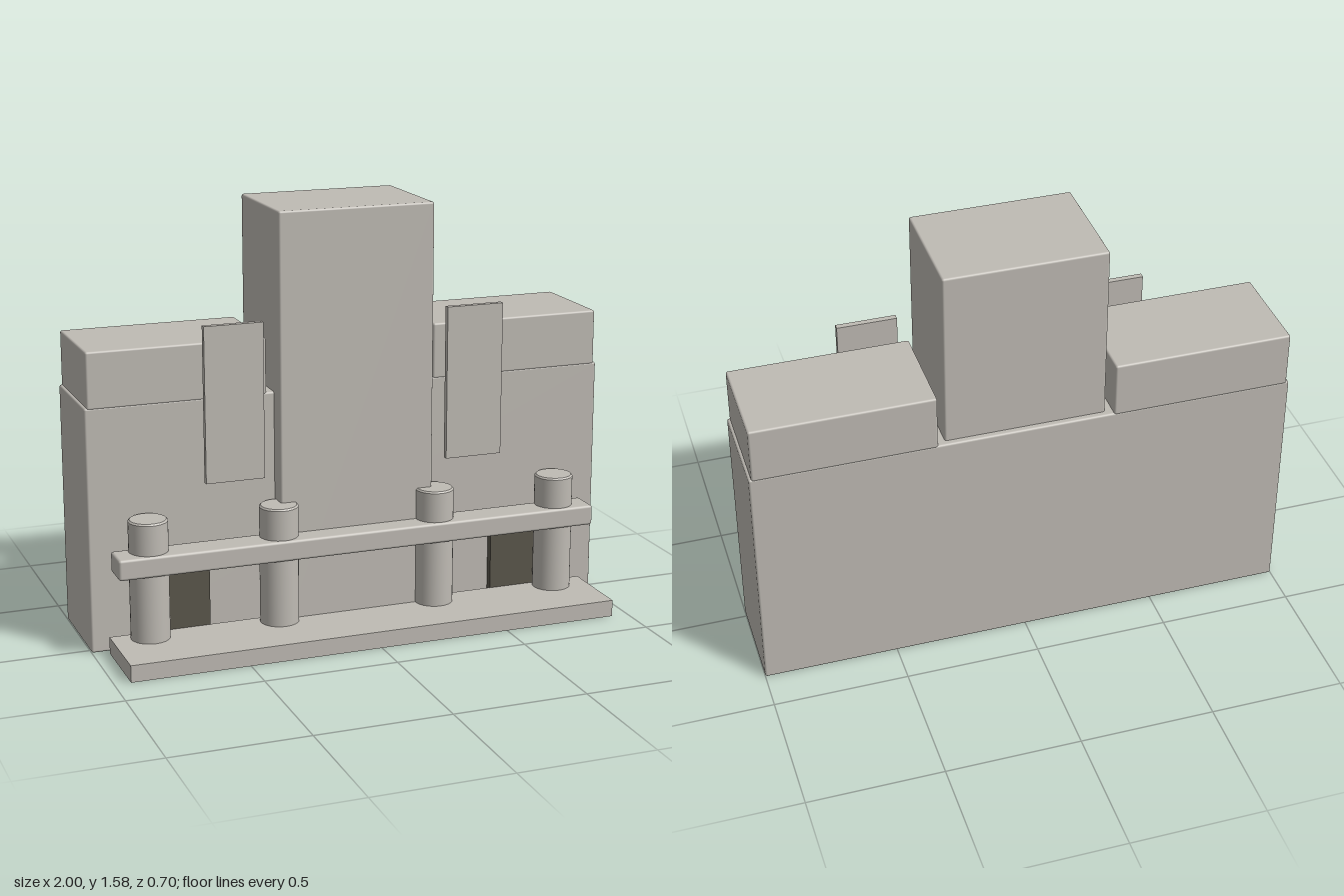
import * as THREE from 'three';
import { RoundedBoxGeometry } from 'three/addons/geometries/RoundedBoxGeometry.js';

export function createModel() {
  const model = new THREE.Group();
  model.name = 'building';
  const stone = new THREE.MeshStandardMaterial({ color: 0xbfbbb4 });
  stone.name = 'paleStone';
  const dark = new THREE.MeshStandardMaterial({ color: 0x5a564b });
  dark.name = 'darkDoor';

  // Box given by its limits on each axis, with an optional softened edge
  function box(name, [x0, x1], [y0, y1], [z0, z1], material, bevel = 0) {
    const size = [x1 - x0, y1 - y0, z1 - z0];
    const geometry = bevel
      ? new RoundedBoxGeometry(...size, 2, bevel)
      : new THREE.BoxGeometry(...size);
    const mesh = new THREE.Mesh(geometry, material);
    mesh.name = name;
    mesh.position.set((x0 + x1) / 2, (y0 + y1) / 2, (z0 + z1) / 2);
    model.add(mesh);
  }

  // Main masses
  box('mainBlock', [-1, 1], [0, 0.912], [-0.35, 0.03], stone, 0.008);
  box('tower', [-0.298, 0.296], [0, 1.58], [-0.327, 0.1], stone, 0.008);

  // Front platform and the rail across the columns
  box('platform', [-0.94, 0.936], [0, 0.063], [0.055, 0.35], stone);
  box('rail', [-0.93, 0.925], [0.315, 0.392], [0.068, 0.186], stone, 0.01);

  // Paired parts
  for (const side of [-1, 1]) {
    const label = side > 0 ? 'left' : 'right';
    const span = (a, b) => (side > 0 ? [a, b] : [-b, -a]);
    box(label + 'RoofBlock', span(0.326, 0.99), [0.905, 1.115], [-0.35, 0.03], stone, 0.008);
    box(label + 'Panel', span(0.356, 0.577), [0.61, 1.187], [0.07, 0.092], stone);
    box(label + 'Door', span(0.56, 0.8), [0.05, 0.35], [0.02, 0.058], dark);
  }

  // Columns with slightly softened tops
  const r = 0.072, h = 0.51;
  const profile = [[0, 0], [r, 0], [r, 0], [r, h - 0.006], [r, h - 0.006], [r - 0.006, h], [r - 0.006, h], [0, h]]
    .map(([x, y]) => new THREE.Vector2(x, y));
  const columnGeometry = new THREE.LatheGeometry(profile, 32);
  [-0.8, -0.309, 0.304, 0.796].forEach((x, i) => {
    const column = new THREE.Mesh(columnGeometry, stone);
    column.name = 'column' + (i + 1);
    column.position.set(x, 0, 0.105);
    model.add(column);
  });

  return model;
}
